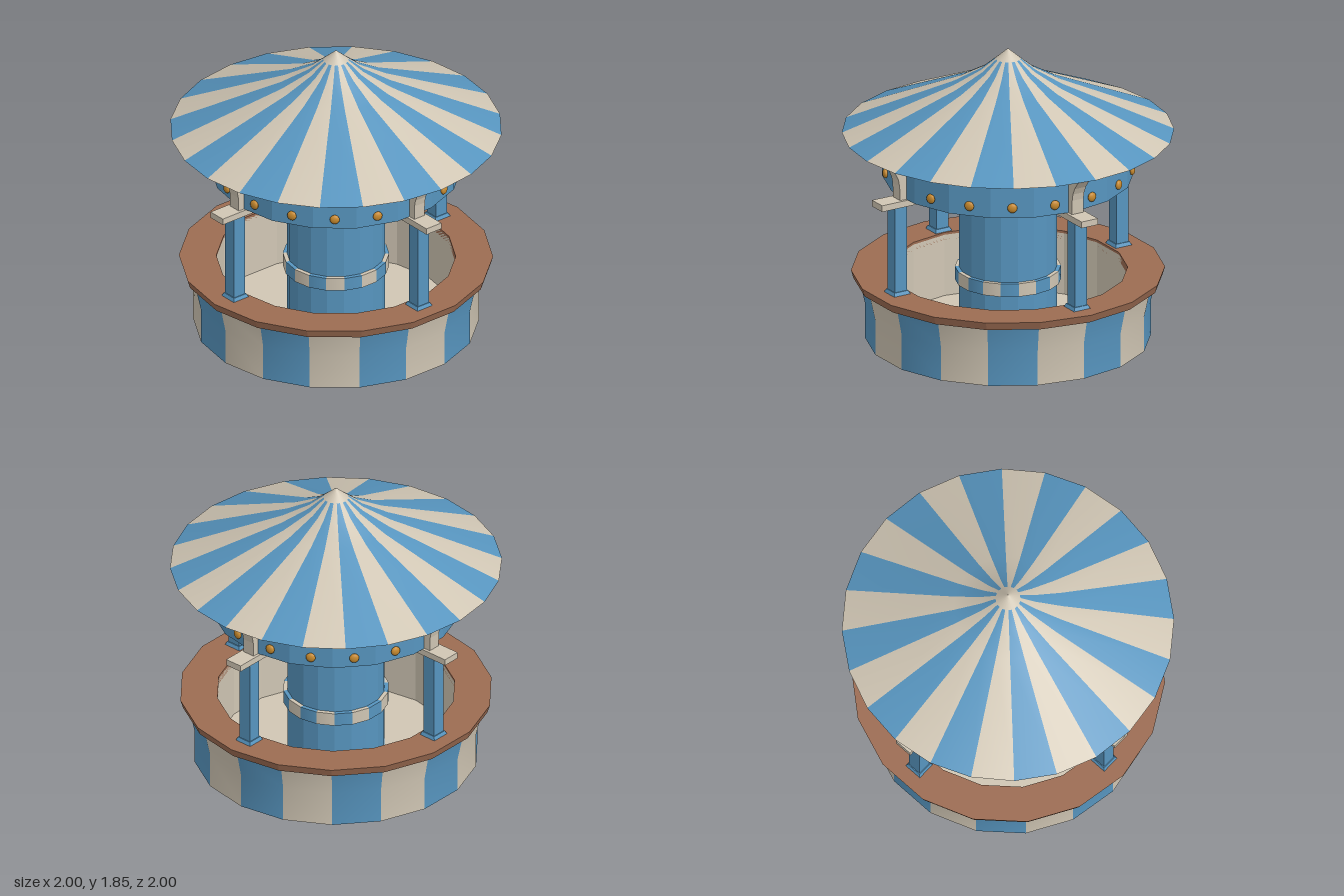
import * as THREE from 'three';
import { mergeGeometries } from 'three/addons/utils/BufferGeometryUtils.js';

const paint = (name, color) => {
  const m = new THREE.MeshStandardMaterial({ color });
  m.name = name;
  return m;
};

export function createModel() {
  const blue = paint('blue', 0x5795bf);
  const cream = paint('cream', 0xd0c6b4);
  const brown = paint('brown', 0x9c6c52);
  const gold = paint('gold', 0xc88a2e);

  const model = new THREE.Group();
  model.name = 'kiosk';
  const SIDES = 18, STEP = Math.PI * 2 / SIDES, START = -STEP / 2;
  const pts = (profile) => profile.map(([r, y]) => new THREE.Vector2(r, y));

  const add = (name, geometry, material, parent = model) => {
    const mesh = new THREE.Mesh(geometry, material);
    mesh.name = name;
    parent.add(mesh);
    return mesh;
  };

  // Faceted turned part; the profile runs upwards on outer faces
  const turned = (name, profile, material) => {
    const g = new THREE.LatheGeometry(pts(profile), SIDES, START).toNonIndexed();
    g.computeVertexNormals();
    return add(name, g, material);
  };

  // Turned part whose sides alternate between two colours, smooth around
  const striped = (name, profile, sides, start) => {
    const step = Math.PI * 2 / sides;
    [cream, blue].forEach((material, k) => {
      const wedges = [];
      for (let i = k; i < sides; i += 2) {
        wedges.push(new THREE.LatheGeometry(pts(profile), 1, start + i * step, step));
      }
      add(name + (k ? 'Blue' : 'Cream'), mergeGeometries(wedges), material);
    });
  };

  // Counter base
  striped('baseWall', [[0.86, 0], [0.86, 0.22], [0.897, 0.39]], SIDES, START);
  turned('baseBottom', [[0, 0], [0.86, 0]], blue);
  turned('innerWall', [[0.72, 0.42], [0.72, 0.03]], cream);
  turned('floor', [[0.72, 0.03], [0, 0.03]], cream);
  turned('counterTop', [[0.72, 0.385], [0.93, 0.385], [0.945, 0.435], [0.72, 0.435], [0.72, 0.385]], brown);

  // Central column with its striped collar
  turned('column', [[0.295, 0.03], [0.295, 1.05]], blue);
  striped('collarSide', [[0.32, 0.37], [0.32, 0.453]], SIDES, START);
  striped('collarTop', [[0.32, 0.453], [0.29, 0.453]], SIDES, START);
  striped('collarUnderside', [[0.29, 0.37], [0.32, 0.37]], SIDES, START);

  // Drum under the roof
  turned('drum', [[0, 1.04], [0.757, 1.04], [0.757, 1.32]], blue);

  // Striped roof with a plain cap
  striped('roof', [[1, 1.32], [0.33, 1.615], [0.165, 1.71], [0.075, 1.785]], 24, 0);
  striped('roofUnderside', [[0.7, 1.32], [1, 1.32]], 24, 0);
  add('roofCap', new THREE.LatheGeometry(pts([[0.075, 1.785], [0, 1.85]]), 24), cream);

  // Lamps, one on each drum face
  const lampGeometry = new THREE.SphereGeometry(0.03, 12, 8);
  for (let i = 0; i < SIDES; i++) {
    const a = i * STEP;
    const lamp = add('lamp', lampGeometry, gold);
    lamp.position.set(Math.sin(a) * 0.755, 1.105, Math.cos(a) * 0.755);
    lamp.rotation.y = a;
    lamp.scale.z = 0.55;
  }

  // Curved roof bracket, drawn as (distance out, height)
  const outline = new THREE.Shape();
  outline.moveTo(0.73, 1.035);
  outline.lineTo(0.79, 1.035);
  outline.lineTo(0.793, 1.13);
  outline.quadraticCurveTo(0.8, 1.24, 0.94, 1.32);
  outline.lineTo(0.73, 1.32);
  const bracketGeometry = new THREE.ExtrudeGeometry(outline, { depth: 0.08, bevelEnabled: false, curveSegments: 5 });
  bracketGeometry.translate(0, 0, -0.04);
  bracketGeometry.rotateY(-Math.PI / 2);

  // Tapered foot of a post
  const footGeometry = new THREE.CylinderGeometry(0.048 * Math.SQRT2, 0.058 * Math.SQRT2, 0.022, 4, 1, false, Math.PI / 4).toNonIndexed();
  footGeometry.computeVertexNormals();

  // Four supports: post, foot, beam and bracket
  for (let i = 0; i < 4; i++) {
    const support = new THREE.Group();
    support.name = 'support';
    support.rotation.y = i * Math.PI / 2;
    model.add(support);
    add('post', new THREE.BoxGeometry(0.085, 0.58, 0.085), blue, support).position.set(0, 0.72, 0.785);
    add('postFoot', footGeometry, blue, support).position.set(0, 0.445, 0.785);
    add('beam', new THREE.BoxGeometry(0.115, 0.04, 0.645), cream, support).position.set(0, 1.02, 0.6055);
    add('bracket', bracketGeometry, cream, support);
  }

  return model;
}
